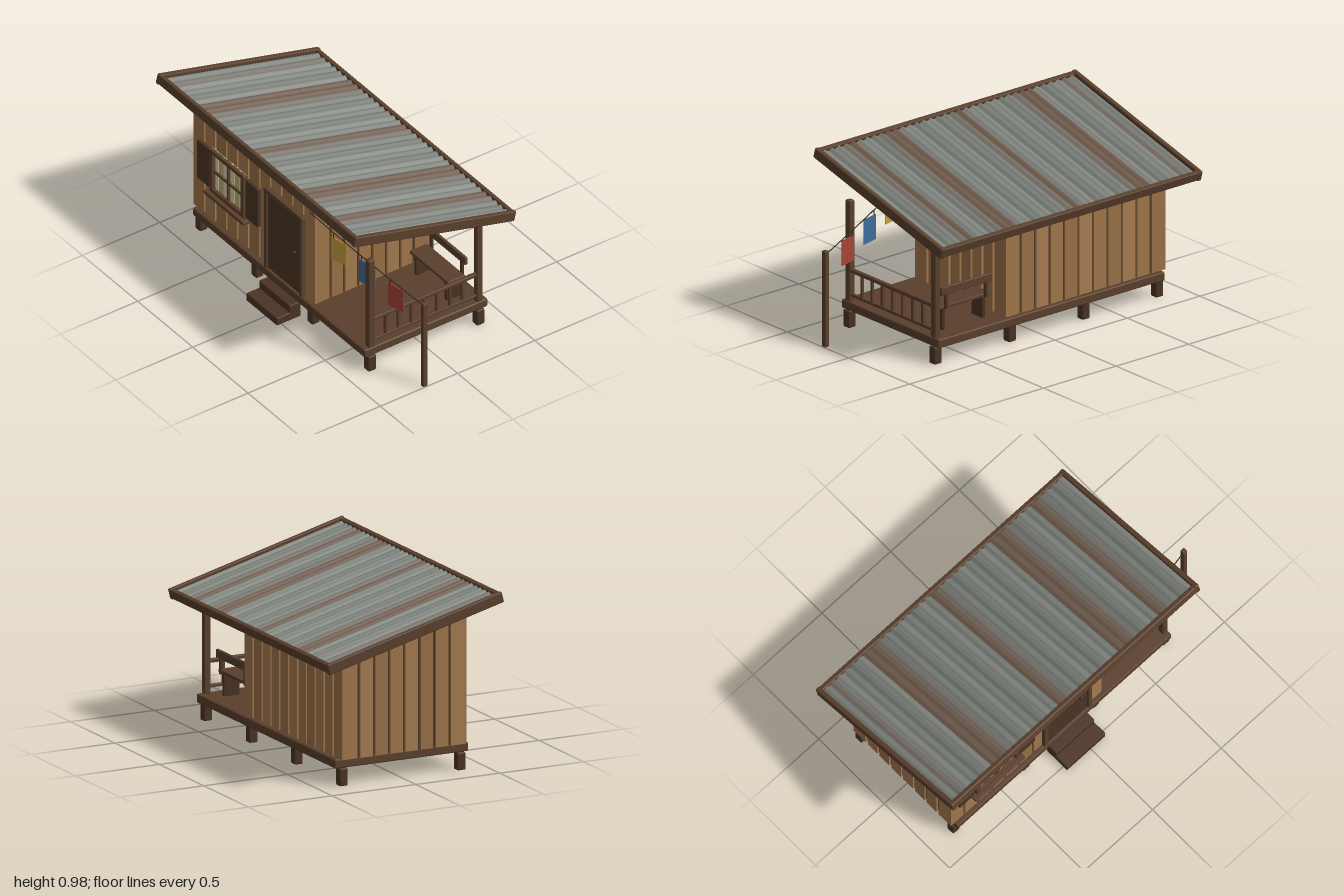
import * as THREE from 'three';
import { RoundedBoxGeometry } from 'three/addons/geometries/RoundedBoxGeometry.js';

const mat = (color, extra = {}) => new THREE.MeshStandardMaterial({ color, ...extra });
const timber = mat(0x5a3f2c);
const darkTimber = mat(0x4a3324);
const gapWood = mat(0x4c3725);
const planks = [mat(0xa0764b), mat(0x997047), mat(0xa67b50)];
const underside = mat(0x2b2c2a);
const metal = [0x7c817b, 0x747973, 0x858982].map((c) => mat(c, { side: THREE.DoubleSide }));
const rust = [0x6f5b4d, 0x777169].map((c) => mat(c, { side: THREE.DoubleSide }));
const glass = mat(0xb9ad78);
const curtain = mat(0xd8cfae);

function add(parent, name, geometry, material, x = 0, y = 0, z = 0) {
  const mesh = new THREE.Mesh(geometry, material);
  mesh.name = name;
  mesh.position.set(x, y, z);
  parent.add(mesh);
  return mesh;
}

// Box given by its extents on each axis, with slightly softened edges when r > 0
function block(parent, name, material, [x0, x1], [y0, y1], [z0, z1], r = 0) {
  const s = [x1 - x0, y1 - y0, z1 - z0];
  const geometry = r ? new RoundedBoxGeometry(...s, 1, r) : new THREE.BoxGeometry(...s);
  return add(parent, name, geometry, material, (x0 + x1) / 2, (y0 + y1) / 2, (z0 + z1) / 2);
}

function group(parent, name) {
  const g = new THREE.Group();
  g.name = name;
  parent.add(g);
  return g;
}

const FLOOR = 0.147;
const wallTop = (z) => 0.765 + 0.2605 * z;

// Slab with a sloping top, outlined in z and y, from x0 to x1
function slopedSlab(parent, name, material, x0, x1, z0, z1) {
  const shape = new THREE.Shape([
    new THREE.Vector2(-z0, FLOOR), new THREE.Vector2(-z0, wallTop(z0)),
    new THREE.Vector2(-z1, wallTop(z1)), new THREE.Vector2(-z1, FLOOR),
  ]);
  const geometry = new THREE.ExtrudeGeometry(shape, { depth: x1 - x0, bevelEnabled: false });
  geometry.rotateY(Math.PI / 2);
  return add(parent, name, geometry, material, x0);
}

function buildBase(root) {
  const base = group(root, 'base');
  block(base, 'deck', timber, [-0.845, 0.715], [0.097, FLOOR], [-0.4, 0.397], 0.008);
  for (const x of [-0.83, -0.323, 0.185, 0.697])
    for (const z of [-0.351, 0.351])
      block(base, 'foot', darkTimber, [x - 0.025, x + 0.025], [0, 0.097], [z - 0.025, z + 0.025], 0.008);
  block(base, 'lowerStep', darkTimber, [-0.175, 0.105], [0, 0.048], [0.375, 0.53], 0.005);
  block(base, 'upperStep', darkTimber, [-0.175, 0.105], [0.04, 0.095], [0.375, 0.447], 0.005);
}

function buildWalls(root) {
  const walls = group(root, 'walls');
  const [x0, x1, zw, gap, t] = [-0.87, 0.227, 0.372, 0.016, 0.012];
  slopedSlab(walls, 'wallCore', gapWood, x0 + t, x1 - t, -zw + t, zw - t);

  // Front and back planks
  const n = 11, w = (x1 - x0) / n;
  for (let i = 0; i < n; i++) {
    const a = x0 + i * w + (i ? gap / 2 : 0);
    const b = x0 + (i + 1) * w - (i < n - 1 ? gap / 2 : 0);
    slopedSlab(walls, 'frontPlank', planks[(i * 2) % 3], a, b, zw - t, zw);
    slopedSlab(walls, 'backPlank', planks[(i * 5 + 1) % 3], a, b, -zw, -zw + t);
  }
  // Side planks with sloping tops
  const m = 8, d = (2 * (zw - t)) / m;
  for (let i = 0; i < m; i++) {
    const a = -zw + t + i * d + (i ? gap / 2 : 0);
    const b = -zw + t + (i + 1) * d - (i < m - 1 ? gap / 2 : 0);
    slopedSlab(walls, 'leftPlank', planks[(i * 2 + 1) % 3], x1 - t, x1, a, b);
    slopedSlab(walls, 'rightPlank', planks[(i * 2) % 3], x0, x0 + t, a, b);
  }
}

function buildDoor(root) {
  const door = group(root, 'door');
  block(door, 'doorPanel', darkTimber, [-0.182, 0.114], [FLOOR, 0.632], [0.36, 0.384], 0.004);
  block(door, 'doorTopStrip', planks[0], [-0.182, 0.114], [0.632, 0.645], [0.36, 0.374]);
  for (const x of [-0.193, 0.125])
    block(door, 'doorJamb', timber, [x - 0.013, x + 0.013], [FLOOR, 0.65], [0.36, 0.395], 0.004);
  block(door, 'doorHead', timber, [-0.208, 0.14], [0.64, 0.667], [0.36, 0.397], 0.004);
  add(door, 'doorKnob', new THREE.SphereGeometry(0.012, 12, 8), mat(0x3a2a1e), 0.063, 0.397, 0.39);
}

function buildWindow(root) {
  const win = group(root, 'window');
  const [l, r, b, t] = [-0.7, -0.39, 0.345, 0.622];
  const f = 0.026, mid = (l + r) / 2;
  block(win, 'pane', glass, [l, r], [b, t], [0.36, 0.375]);
  for (const s of [-1, 1]) {
    for (const o of [0.035, 0.105])
      block(win, 'curtainFold', curtain, [mid + s * o - 0.012, mid + s * o + 0.012], [b, t], [0.37, 0.378]);
    const x = mid + s * ((r - l) / 2 - f / 2);
    block(win, 'windowSideFrame', timber, [x - f / 2, x + f / 2], [b, t], [0.36, 0.395], 0.004);
    const c = mid + s * 0.219;
    block(win, 'shutter', darkTimber, [c - 0.056, c + 0.056], [0.355, 0.605], [0.365, 0.388], 0.005);
  }
  for (const y of [b + f / 2, t - f / 2])
    block(win, 'windowRailFrame', timber, [l, r], [y - f / 2, y + f / 2], [0.36, 0.395], 0.004);
  block(win, 'mullion', timber, [mid - 0.007, mid + 0.007], [b, t], [0.37, 0.388]);
  block(win, 'crossbar', timber, [l, r], [0.477, 0.491], [0.37, 0.388]);
  block(win, 'sill', timber, [-0.725, -0.365], [0.32, 0.342], [0.36, 0.413], 0.004);
}

function buildPorch(root) {
  const porch = group(root, 'porch');
  for (const z of [-0.351, 0.349])
    block(porch, 'porchPost', timber, [0.678, 0.714], [FLOOR, 0.716], [z - 0.019, z + 0.019], 0.006);
  block(porch, 'topRail', timber, [0.684, 0.708], [0.311, 0.332], [-0.34, 0.34], 0.004);
  block(porch, 'bottomRail', timber, [0.687, 0.705], [0.176, 0.193], [-0.34, 0.34], 0.003);
  for (let i = -3; i <= 3; i++) {
    const z = i * 0.083;
    block(porch, 'baluster', timber, [0.689, 0.703], [0.185, 0.32], [z - 0.007, z + 0.007]);
  }

  const bench = group(root, 'bench');
  block(bench, 'benchSeat', timber, [0.286, 0.634], [0.27, 0.289], [-0.312, -0.2], 0.004);
  block(bench, 'benchBackrest', timber, [0.286, 0.634], [0.353, 0.4], [-0.328, -0.31], 0.005);
  for (const x of [0.322, 0.597]) {
    block(bench, 'benchLeg', darkTimber, [x - 0.01, x + 0.01], [FLOOR, 0.272], [-0.302, -0.21], 0.003);
    block(bench, 'benchBackSupport', darkTimber, [x - 0.008, x + 0.008], [0.27, 0.385], [-0.324, -0.31]);
  }
}

function buildRoof(root) {
  const roof = group(root, 'roof');
  roof.position.set(-0.1, 0.821, 0.001);
  roof.rotation.x = -0.256;
  const W = 0.9, L = 0.5385;
  block(roof, 'roofUnderside', underside, [-W + 0.01, W - 0.01], [-0.012, 0.004], [-L + 0.01, L - 0.01]);
  for (const s of [-1, 1]) {
    const x = s * (W - 0.014), z = s * (L - 0.016);
    block(roof, 'rakeBoard', timber, [x - 0.014, x + 0.014], [-0.03, 0.03], [-L, L], 0.007);
    block(roof, 'fascia', timber, [-W + 0.008, W - 0.008], [-0.026, 0.026], [z - 0.014, z + 0.014], 0.006);
  }

  // Corrugated sheets, one per wave, some of them rusted
  const n = 36, pitch = (2 * W - 0.05) / n;
  const rusted = { 1: 1, 6: 0, 7: 0, 8: 1, 16: 0, 17: 1, 25: 0, 26: 0, 27: 1, 31: 0, 32: 1 };
  for (let i = 0; i < n; i++) {
    const geometry = new THREE.PlaneGeometry(pitch, 2 * L - 0.04, 8, 1).rotateX(-Math.PI / 2);
    const p = geometry.attributes.position;
    for (let k = 0; k < p.count; k++)
      p.setY(k, 0.013 + 0.007 * Math.cos((p.getX(k) / pitch) * 2 * Math.PI));
    geometry.computeVertexNormals();
    const material = i in rusted ? rust[rusted[i]] : metal[(i * 7) % 3];
    add(roof, 'corrugatedSheet', geometry, material, -W + 0.025 + (i + 0.5) * pitch);
  }
}

function buildClothesline(root) {
  const line = group(root, 'clothesline');
  block(line, 'linePole', timber, [0.972, 0.998], [0, 0.542], [0.192, 0.22], 0.004);
  const a = new THREE.Vector3(0.215, 0.753, 0.395), b = new THREE.Vector3(0.985, 0.52, 0.205);
  const middle = a.clone().lerp(b, 0.5);
  middle.y -= 0.02;
  const curve = new THREE.QuadraticBezierCurve3(a, middle, b);
  add(line, 'rope', new THREE.TubeGeometry(curve, 16, 0.003, 6), mat(0x2a2320));

  // Cloths hang along the line direction
  const cloths = [[0.412, 0.665, 0xc9a040], [0.601, 0.61, 0x3f6c9a], [0.794, 0.552, 0xa84436]];
  for (const [x, top, color] of cloths) {
    const z = THREE.MathUtils.mapLinear(x, a.x, b.x, a.z, b.z);
    const cloth = add(line, 'cloth', new THREE.BoxGeometry(0.108, 0.142, 0.004), mat(color), x, top - 0.071, z);
    cloth.rotation.y = Math.atan2(a.z - b.z, b.x - a.x);
    for (const s of [-1, 1])
      block(cloth, 'clothTie', mat(0x2a2320), [s * 0.04 - 0.002, s * 0.04 + 0.002], [0.065, 0.084 - s * 0.012], [-0.002, 0.002]);
  }
}

export function createModel() {
  const root = new THREE.Group();
  root.name = 'cabin';
  for (const build of [buildBase, buildWalls, buildDoor, buildWindow, buildPorch, buildRoof, buildClothesline])
    build(root);
  return root;
}
